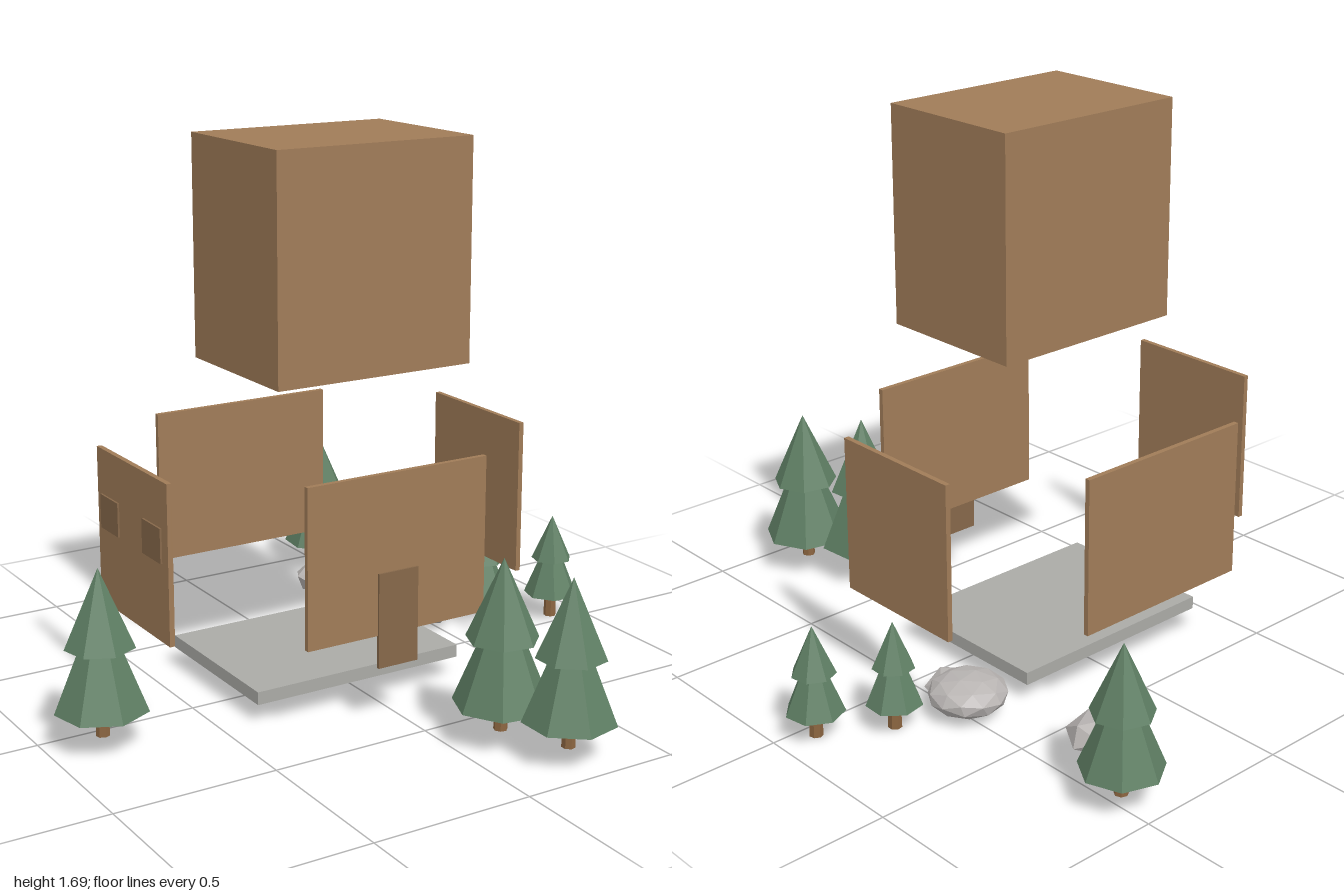
import * as THREE from 'three';

const material = (color) => new THREE.MeshStandardMaterial({ color, flatShading: true });

export function createModel() {
  const model = new THREE.Group();
  const wood = material(0xa07c58);
  const darkWood = material(0x86684a);
  const stone = material(0xaaaaa6);
  const rockGrey = material(0xb8b4b2);
  const foliage = material(0x5f7f64);
  const bark = material(0x8b6540);

  function add(parent, name, geometry, mat, x, y, z) {
    const mesh = new THREE.Mesh(geometry, mat);
    mesh.name = name;
    mesh.position.set(x, y, z);
    parent.add(mesh);
    return mesh;
  }

  // Box given by its lower and upper limits on each axis
  function block(name, mat, [x0, x1], [y0, y1], [z0, z1]) {
    return add(model, name, new THREE.BoxGeometry(x1 - x0, y1 - y0, z1 - z0), mat,
      (x0 + x1) / 2, (y0 + y1) / 2, (z0 + z1) / 2);
  }

  // Exploded cabin: floor slab, four walls, raised roof block
  const wallY = [0.285, 0.77];
  block('floorSlab', stone, [-0.39, 0.32], [0.06, 0.1], [-0.325, 0.205]);
  block('roofBlock', wood, [-0.36, 0.29], [1.02, 1.69], [-0.207, 0.285]);
  block('frontWall', wood, [-0.34, 0.27], wallY, [0.391, 0.407]);
  block('backWall', wood, [-0.34, 0.27], wallY, [-0.526, -0.51]);
  block('rightWall', wood, [-0.655, -0.639], wallY, [-0.285, 0.17]);
  block('leftWall', wood, [0.569, 0.585], wallY, [-0.285, 0.17]);

  // Door and windows stand slightly proud of their walls
  block('door', darkWood, [-0.105, 0.03], [0.185, 0.475], [0.403, 0.413]);
  for (const z of [-0.2, 0.075]) {
    block('window', darkWood, [-0.661, -0.651], [0.525, 0.63], [z - 0.058, z + 0.058]);
  }

  // Pines: x, base y, z, foliage height, turn
  const trees = [
    [-0.84, 0.033, 0.1, 0.425, 0],
    [0.148, 0.035, 0.667, 0.44, 0.3],
    [0.243, 0.033, 0.86, 0.425, 0.67],
    [0.478, 0.025, -0.875, 0.38, 0.57],
    [0.688, 0, -0.163, 0.26, 0.2],
    [0.886, 0.003, -0.05, 0.27, 0.4],
  ];
  for (const [x, y, z, h, turn] of trees) {
    const tree = new THREE.Group();
    tree.name = 'pineTree';
    tree.position.set(x, y, z);
    tree.rotation.y = turn;
    add(tree, 'trunk', new THREE.CylinderGeometry(0.018, 0.021, 0.1, 7), bark, 0, 0.05, 0);
    add(tree, 'lowerBranches', new THREE.ConeGeometry(h * 0.327, h * 0.8, 7), foliage,
      0, 0.08 + h * 0.4, 0);
    add(tree, 'upperBranches', new THREE.ConeGeometry(h * 0.245, h * 0.55, 7), foliage,
      0, 0.08 + h * 0.725, 0);
    model.add(tree);
  }

  // Flattened faceted rocks: position, half sizes, subdivision, turn
  const rocks = [
    [[0.348, 0.06, -0.65], [0.1, 0.057, 0.092], 0, 0.5],
    [[0.485, 0.07, -0.25], [0.12, 0.058, 0.12], 1, 0.2],
    [[0.48, 0.06, -0.18], [0.088, 0.052, 0.085], 0, 0.9],
  ];
  for (const [p, s, detail, turn] of rocks) {
    const geometry = new THREE.IcosahedronGeometry(1, detail);
    geometry.rotateX(0.55).rotateY(turn).scale(...s);
    add(model, 'rock', geometry, rockGrey, ...p);
  }
  return model;
}
